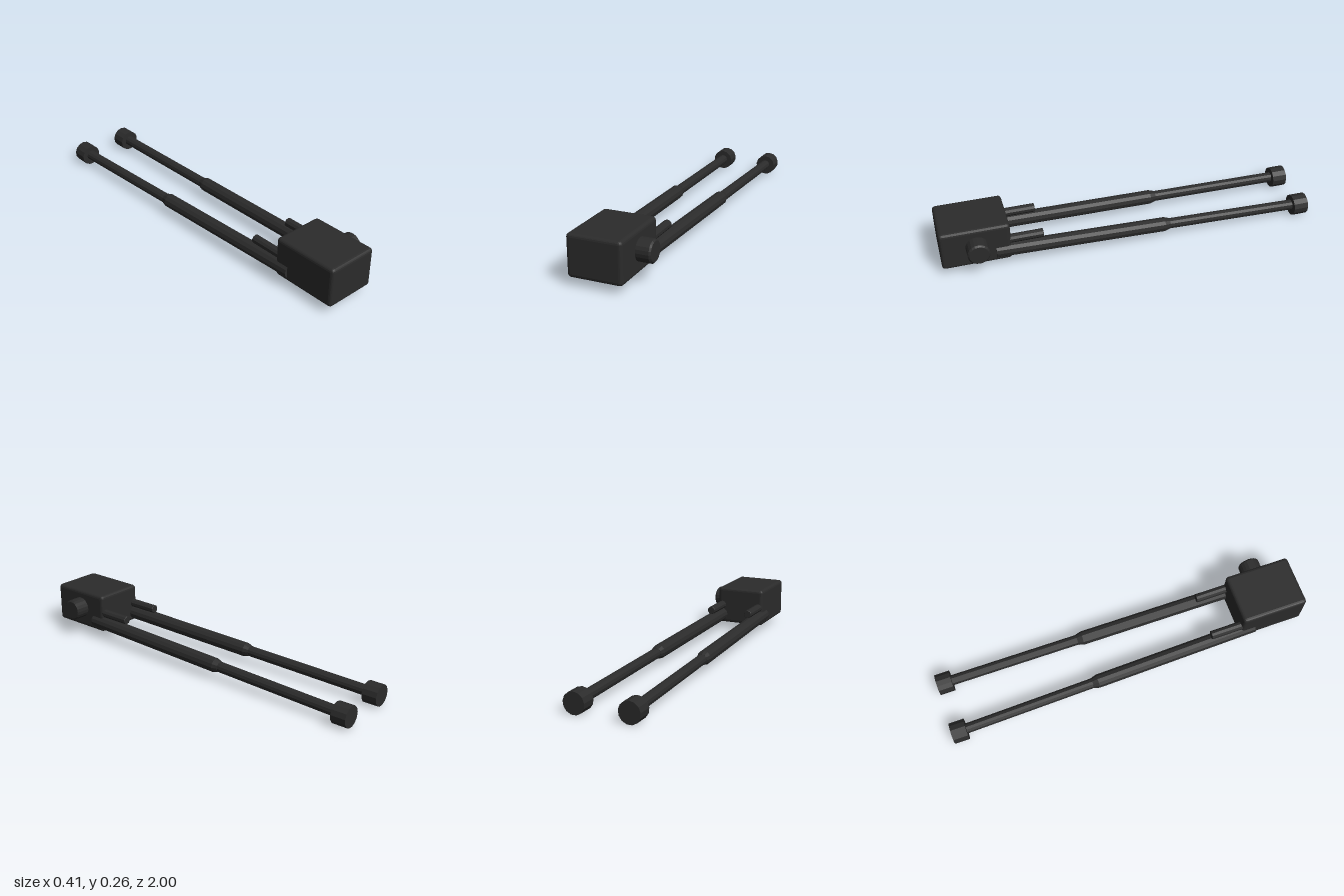
import * as THREE from 'three';
import { RoundedBoxGeometry } from 'three/addons/geometries/RoundedBoxGeometry.js';

export function createModel() {
  const model = new THREE.Group();
  model.name = 'foldedBipod';
  const black = new THREE.MeshStandardMaterial({ color: 0x2b2b2b, flatShading: true });
  black.name = 'matte black';
  const midX = -0.01;

  const add = (name, geometry, parent = model) => {
    const mesh = new THREE.Mesh(geometry, black);
    mesh.name = name;
    parent.add(mesh);
    return mesh;
  };

  // Closed turned part; profile is [radius, distance along the axis] from a to b
  const turned = (name, a, b, profile, sides, parent) => {
    const points = profile.map(([r, d]) => new THREE.Vector2(r, d));
    const mesh = add(name, new THREE.LatheGeometry(points, sides), parent);
    mesh.position.copy(a);
    mesh.quaternion.setFromUnitVectors(new THREE.Vector3(0, 1, 0), b.clone().sub(a).normalize());
    return mesh;
  };
  const rod = (r, len, bevel) => [[0, 0], [r, 0], [r, len - bevel], [r - bevel, len], [0, len]];

  // Mounting block
  add('mountBlock', new RoundedBoxGeometry(0.28, 0.214, 0.36, 2, 0.018)).position.set(midX, 0.15, 0.82);

  // Clamp knob on the left side
  turned('clampKnob', new THREE.Vector3(0.12, 0.158, 0.815), new THREE.Vector3(0.205, 0.158, 0.815),
    rod(0.058, 0.085, 0.008), 20);

  // Mirrored legs, splayed slightly towards the feet
  for (const side of [-1, 1]) {
    const leg = new THREE.Group();
    leg.name = side > 0 ? 'leftLeg' : 'rightLeg';
    model.add(leg);
    const at = (x, y, z) => new THREE.Vector3(midX + side * x, y, z);
    const top = at(0.118, 0.095, 0.72);
    const foot = at(0.142, 0.058, -0.96);
    const joint = top.clone().lerp(foot, 0.555);

    // Upper tube with a tapered collar at its lower end
    const upper = top.distanceTo(joint);
    turned('upperTube', top, joint,
      [[0, 0], [0.038, 0], [0.038, upper - 0.03], [0.029, upper], [0, upper]], 12, leg);
    // Sliding lower tube
    turned('lowerTube', joint, foot, rod(0.028, joint.distanceTo(foot), 0), 12, leg);
    // Foot
    turned('foot', at(0.142, 0.057, -0.92), at(0.142, 0.057, -1), rod(0.057, 0.08, 0), 13, leg);
    // Spring pin behind the block
    turned('springPin', at(0.114, 0.152, 0.68), at(0.114, 0.152, 0.47), rod(0.023, 0.21, 0.002), 10, leg);
  }
  return model;
}
